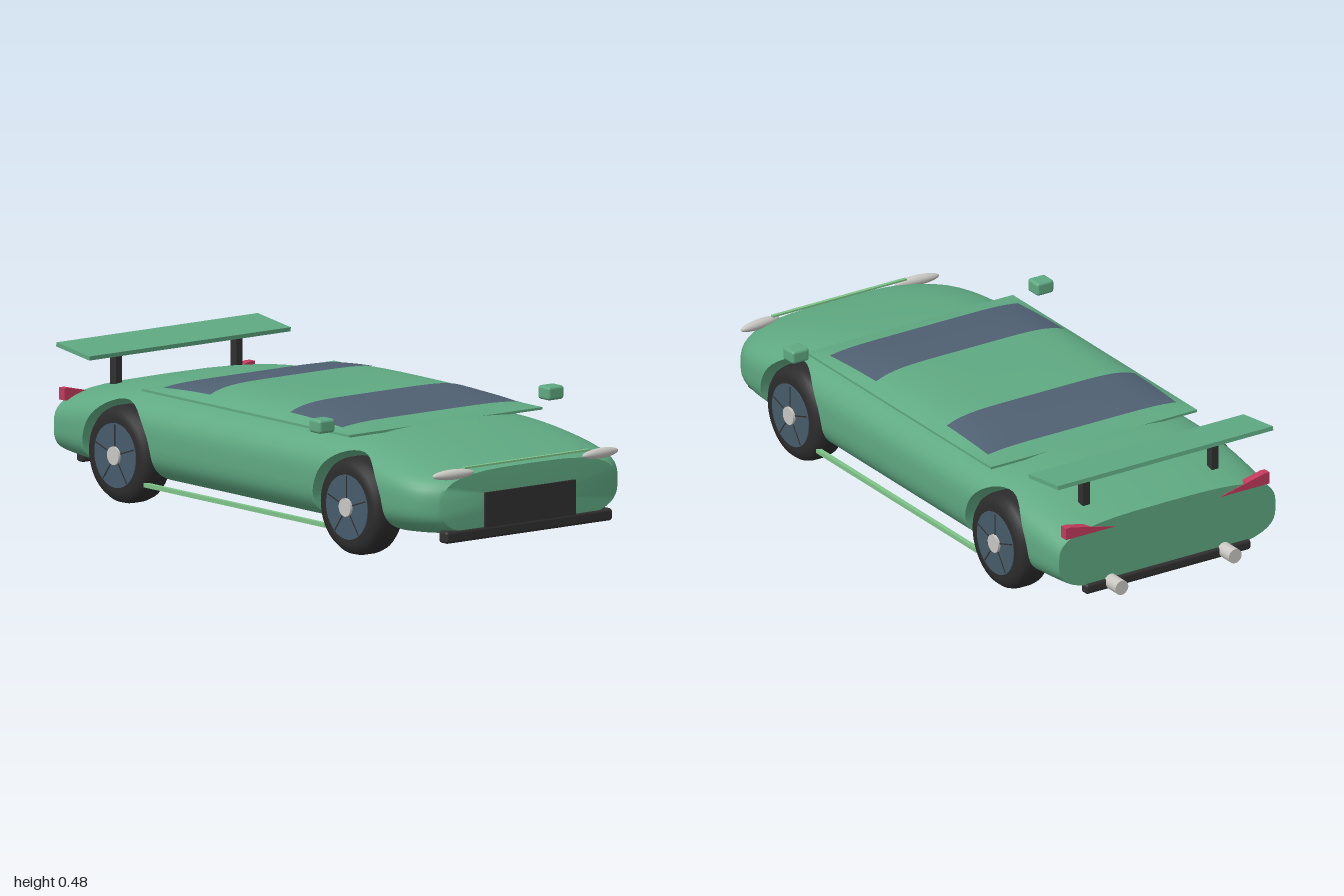
import * as THREE from 'three';
import { toCreasedNormals } from 'three/addons/utils/BufferGeometryUtils.js';
import { RoundedBoxGeometry } from 'three/addons/geometries/RoundedBoxGeometry.js';

const mat = (name, color, side = THREE.FrontSide) => {
  const m = new THREE.MeshStandardMaterial({ color, side });
  m.name = name;
  return m;
};
const WHEEL_X = 0.595, WHEEL_Y = 0.16, ARCH_R = 0.18;

// how far a point lies into the tapering nose or tail, 0 to 1
const nose = x => Math.max(0, (x - 0.5) / 0.485);
const tail = x => Math.max(0, (-0.55 - x) / 0.385);
const topY = x => 0.39 - 0.08 * nose(x) ** 1.8 - 0.065 * tail(x) ** 1.5;
const bottomY = x => 0.065 + 0.035 * nose(x) ** 2 + 0.025 * tail(x) ** 2;
// half width of the body at a point of its side view
function halfWidth(x, y) {
  const t = topY(x), b = bottomY(x), n = 3.2;
  const v = Math.min(1, Math.abs((2 * y - t - b) / (t - b)));
  return (0.44 - 0.08 * nose(x) ** 8 - 0.02 * tail(x) ** 2) * (1 - v ** n) ** (1 / n);
}

// columns run from the lower edge (with round arches) to the upper edge
function bodyGeometry() {
  const cols = [];
  const flat = (b0, b1, t0, t1, n) => {
    for (let i = 0; i < n; i++) {
      const bx = b0 + (b1 - b0) * i / n, tx = t0 + (t1 - t0) * i / n;
      cols.push([bx, bottomY(bx), tx]);
    }
  };
  const low = Math.asin(0.094 / ARCH_R), half = ARCH_R * Math.cos(low), spread = 0.33;
  const arch = xc => {
    const n = 48;
    for (let i = 0; i <= n; i++) {
      const t = i / n, e = t - Math.sin(4 * Math.PI * t) * 0.0 - Math.sin(2 * Math.PI * t) * 0.08;
      const a = Math.PI + low - e * (Math.PI + 2 * low);
      cols.push([xc + ARCH_R * Math.cos(a), WHEEL_Y + ARCH_R * Math.sin(a), xc + spread * (2 * t - 1)]);
    }
  };
  flat(-0.935, -WHEEL_X - half, -0.935, -WHEEL_X - spread, 8);
  arch(-WHEEL_X);
  flat(-WHEEL_X + half, WHEEL_X - half, -WHEEL_X + spread, WHEEL_X - spread, 8);
  arch(WHEEL_X);
  flat(WHEEL_X + half, 0.985, WHEEL_X + spread, 0.985, 14);
  cols.push([0.985, bottomY(0.985), 0.985]);

  const S = 24, ring = 2 * (S + 1), pos = [], idx = [];
  for (const [bx, by, tx] of cols) {
    const ty = topY(tx);
    for (let j = 0; j < ring; j++) {
      const s = j <= S ? j / S : (ring - 1 - j) / S;
      const k = (1 - Math.cos(Math.PI * s)) / 2;
      const x = bx + (tx - bx) * k, y = by + (ty - by) * k;
      pos.push(x, y, (j <= S ? 1 : -1) * halfWidth(x, y));
    }
  }
  for (let i = 0; i < cols.length - 1; i++) for (let j = 0; j < ring; j++) {
    const a = i * ring + j, b = i * ring + (j + 1) % ring;
    idx.push(a, a + ring, b + ring, a, b + ring, b);
  }
  // flat tail and nose
  const c = pos.length / 3, last = (cols.length - 1) * ring;
  pos.push(-0.935, 0.2, 0, 0.99, 0.2, 0);
  for (let j = 0; j < ring; j++) {
    const k = (j + 1) % ring;
    idx.push(c, j, k, c + 1, last + k, last + j);
  }
  const g = new THREE.BufferGeometry();
  g.setAttribute('position', new THREE.Float32BufferAttribute(pos, 3));
  g.setIndex(idx);
  return toCreasedNormals(g, 0.75);
}

// a patch of the domed roof
function roofPatch(x0, x1, z, lift) {
  const g = new THREE.PlaneGeometry(x1 - x0, 2 * z, 32, 32);
  g.rotateX(-Math.PI / 2);
  g.translate((x0 + x1) / 2, 0, 0);
  const p = g.attributes.position;
  for (let i = 0; i < p.count; i++) {
    const f = 1 - Math.abs((p.getX(i) - 0.025) / 0.535) ** 3;
    const w = 1 - Math.abs(p.getZ(i) / 0.4) ** 6;
    p.setY(i, 0.387 + 0.048 * Math.max(0, f * w) + lift);
  }
  g.computeVertexNormals();
  return g;
}

export function createModel() {
  const car = new THREE.Group();
  car.name = 'car';
  const paint = mat('green paint', 0x5fa982);
  const roofPaint = paint;
  const glass = mat('tinted glass', 0x4f6072);
  const rimMat = mat('slate rim', 0x475b6b);
  const rubber = mat('tyre rubber', 0x2c2c2c);
  const black = mat('black trim', 0x303030);
  const metal = mat('light metal', 0xc9c7c2);
  const red = mat('red lens', 0xc23a5c);
  const accent = mat('light green trim', 0x7fc489);

  const add = (name, geo, m, x = 0, y = 0, z = 0, parent = car) => {
    const mesh = new THREE.Mesh(geo, m);
    mesh.name = name;
    mesh.position.set(x, y, z);
    parent.add(mesh);
    return mesh;
  };
  const box = (w, h, d) => new THREE.BoxGeometry(w, h, d);

  add('body', bodyGeometry(), paint);

  // roof and windows
  add('roof', roofPatch(-0.51, 0.56, 0.4, 0), roofPaint);
  add('roofBase', box(1.07, 0.008, 0.8), paint, 0.025, 0.383, 0);
  add('rearWindow', roofPatch(-0.44, -0.2, 0.365, 0.002), glass);
  add('windscreen', roofPatch(0.21, 0.48, 0.365, 0.002), glass);

  // nose and tail trim
  add('grille', box(0.02, 0.115, 0.375), black, 0.985, 0.178, 0);
  add('frontBumper', new RoundedBoxGeometry(0.045, 0.04, 0.69, 3, 0.01), black, 0.968, 0.103, 0);
  add('rearBumper', new RoundedBoxGeometry(0.035, 0.035, 0.64, 3, 0.01), black, -0.928, 0.095, 0);
  add('hoodTrim', box(0.012, 0.006, 0.52), accent, 0.972, 0.322, 0);

  // rear wing
  const wing = add('wing', box(0.172, 0.014, 0.835), paint, -0.84, 0.464, 0);
  wing.rotation.z = -0.13;

  // wheel parts, axis along z
  const tyre = new THREE.LatheGeometry([
    [0, -0.06], [0.12, -0.06], [0.143, -0.055], [0.155, -0.04], [0.16, -0.02],
    [0.16, 0.02], [0.155, 0.04], [0.143, 0.055], [0.12, 0.06], [0, 0.06],
  ].map(p => new THREE.Vector2(...p)), 48).rotateX(Math.PI / 2);
  const disc = (r, h) => new THREE.CylinderGeometry(r, r, h, 40).rotateX(Math.PI / 2);

  // wedge lamp, tall at the outer end
  const lens = new THREE.Shape([[0, -0.02], [0.19, -0.02], [0.19, 0.02], [0.17, 0.02]]
    .map(p => new THREE.Vector2(...p)));

  for (const s of [1, -1]) {
    const side = s > 0 ? 'left' : 'right';
    for (const [end, x] of [['Front', WHEEL_X], ['Rear', -WHEEL_X]]) {
      const wheel = new THREE.Group();
      wheel.name = side + end + 'Wheel';
      wheel.position.set(x, WHEEL_Y, s * 0.378);
      car.add(wheel);
      add('tyre', tyre, rubber, 0, 0, 0, wheel);
      add('rim', disc(0.106, 0.01), rimMat, 0, 0, s * 0.058, wheel);
      add('hub', disc(0.03, 0.02), metal, 0, 0, s * 0.062, wheel);
      for (let i = 0; i < 5; i++) {
        const a = Math.PI / 2 + i * Math.PI * 0.4;
        const spoke = add('spokeLine', box(0.075, 0.004, 0.003), black,
          0.065 * Math.cos(a), 0.065 * Math.sin(a), s * 0.063, wheel);
        spoke.rotation.z = a;
      }
    }
    add(side + 'Skirt', box(0.93, 0.014, 0.016), accent, 0, 0.08, s * 0.42);
    add(side + 'Mirror', new RoundedBoxGeometry(0.06, 0.045, 0.066, 3, 0.01), paint, 0.51, 0.421, s * 0.475);
    add(side + 'WingSupport', box(0.03, 0.12, 0.026), black, -0.825, 0.4, s * 0.25);

    const lamp = add(side + 'Headlight', new THREE.SphereGeometry(1, 24, 16), metal, 0.974, 0.306, s * 0.305);
    lamp.scale.set(0.017, 0.017, 0.08);
    lamp.rotation.y = -s * 0.1;

    const tailLamp = add(side + 'TailLight',
      new THREE.ExtrudeGeometry(lens, { depth: 0.028, bevelEnabled: false }),
      red, s > 0 ? -0.938 : -0.91, 0.31, s * 0.205);
    tailLamp.rotation.y = -s * Math.PI / 2;
    if (s > 0) tailLamp.position.x = -0.91;
    else tailLamp.position.x = -0.938;

    const pipe = add(side + 'Exhaust', new THREE.CylinderGeometry(0.025, 0.025, 0.095, 24), metal, -0.953, 0.1, s * 0.22);
    pipe.rotation.z = Math.PI / 2;
  }
  return car;
}
